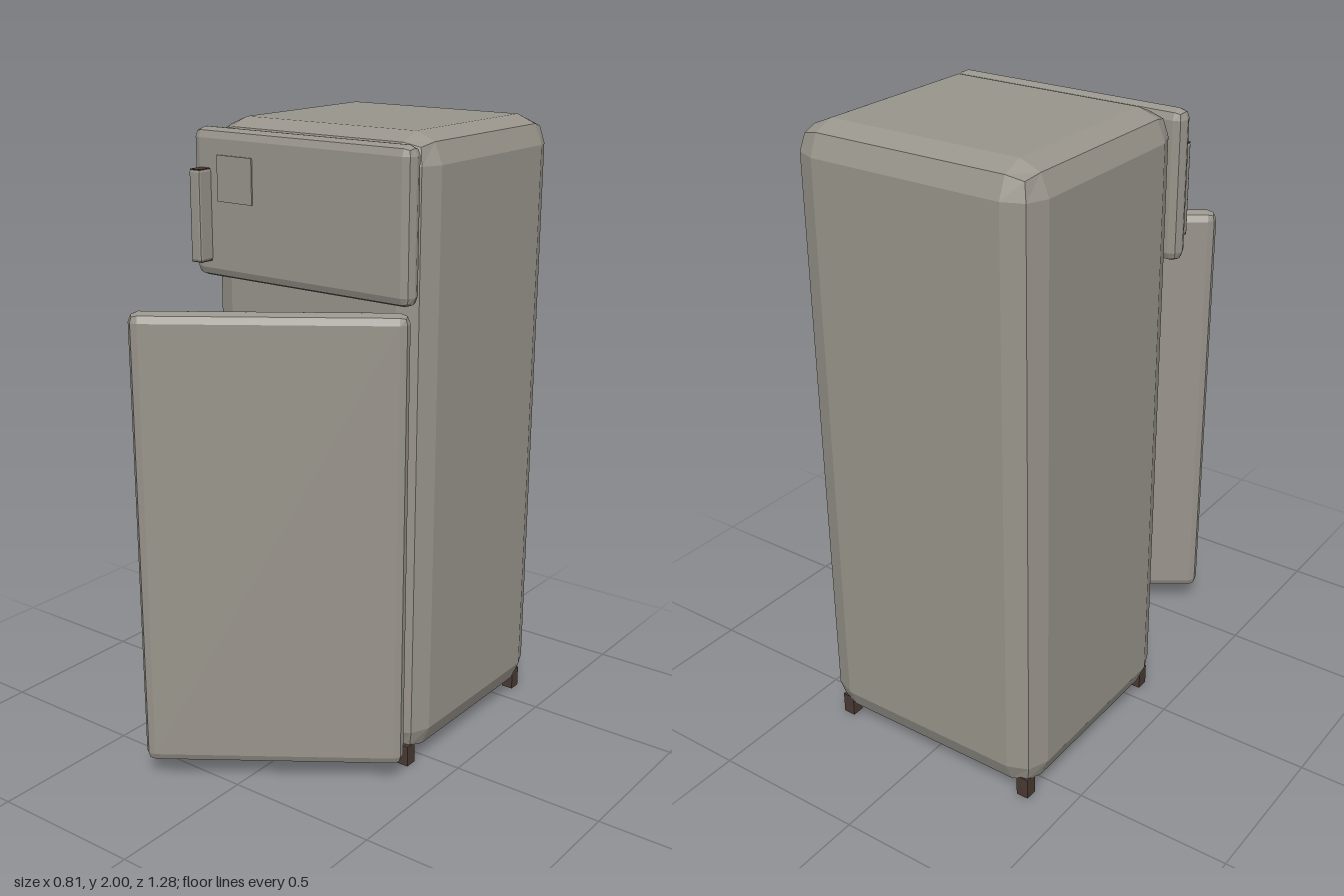
import * as THREE from 'three';
import { RoundedBoxGeometry } from 'three/addons/geometries/RoundedBoxGeometry.js';

export function createModel() {
  const enamel = new THREE.MeshStandardMaterial({ color: 0x98948b });
  enamel.name = 'grey enamel';
  const brown = new THREE.MeshStandardMaterial({ color: 0x4a3a33 });
  brown.name = 'dark brown';

  const model = new THREE.Group();
  model.name = 'refrigerator';

  const add = (name, geometry, material, x, y, z) => {
    const mesh = new THREE.Mesh(geometry, material);
    mesh.name = name;
    mesh.position.set(x, y, z);
    model.add(mesh);
    return mesh;
  };

  // Box with two flat facets around every edge
  const facetedBox = (w, h, d, r) => {
    const geometry = new RoundedBoxGeometry(w, h, d, 1, r);
    geometry.computeVertexNormals();
    return geometry;
  };

  // Cabinet
  add('cabinet', facetedBox(0.806, 1.97, 0.745, 0.09), enamel, -0.004, 1.015, -0.262);

  // Closed freezer door with a small raised plate
  add('freezerDoor', facetedBox(0.806, 0.457, 0.067, 0.03), enamel, -0.004, 1.749, 0.144);
  add('doorPlate', new THREE.BoxGeometry(0.135, 0.14, 0.007), enamel, -0.237, 1.83, 0.179);

  // Upright handle with dark end caps
  add('handle', facetedBox(0.042, 0.282, 0.062, 0.008), enamel, -0.354, 1.716, 0.2);
  for (const side of [-1, 1]) {
    add('handleCap', new THREE.BoxGeometry(0.038, 0.004, 0.05), brown, -0.354, 1.716 + side * 0.14, 0.202);
  }

  // Main door, swung open about its left edge
  const mainDoor = add('mainDoor', facetedBox(0.806, 1.445, 0.067, 0.03), enamel, 0.068, 0.788, 0.396);
  mainDoor.rotation.y = THREE.MathUtils.degToRad(35);

  // Feet
  for (const x of [-0.353, 0.345]) {
    for (const z of [0.07, -0.585]) {
      add('foot', new THREE.BoxGeometry(0.04, 0.07, 0.04), brown, x, 0.035, z);
    }
  }

  return model;
}
